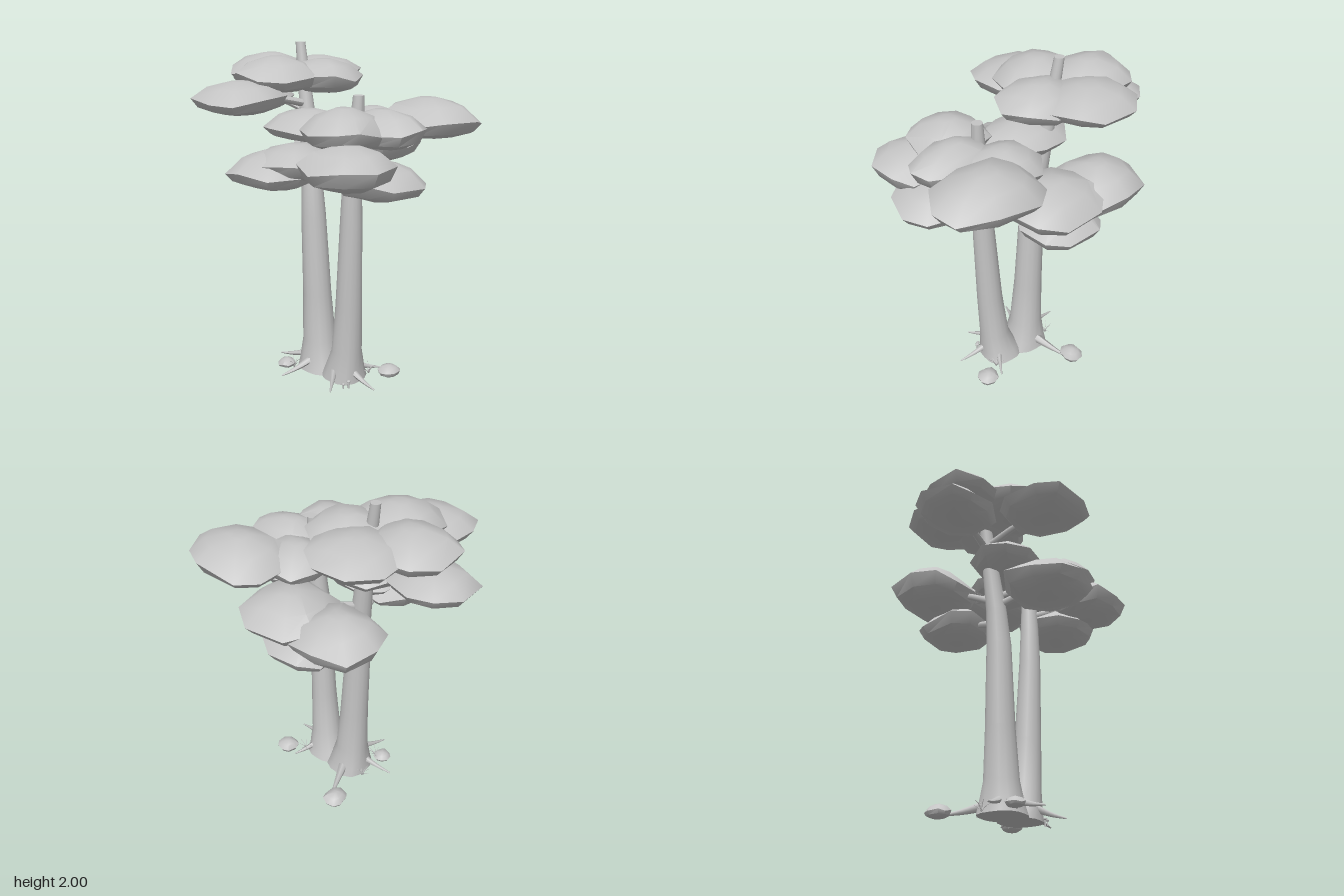
import * as THREE from 'three';
import { toCreasedNormals } from 'three/addons/utils/BufferGeometryUtils.js';

let seed = 11;
const rand = () => (seed = (seed * 16807) % 2147483647) / 2147483647;
const V = (x, y, z) => new THREE.Vector3(x, y, z);

// Closed skin over horizontal rings of points, listed from bottom to top
function loft(rings, crease) {
  const n = rings[0].length, pos = [], index = [];
  const centre = (ring) => ring.reduce((s, p) => s.add(p), V(0, 0, 0)).divideScalar(n);
  rings.forEach((ring) => ring.forEach((p) => pos.push(p.x, p.y, p.z)));
  const bottom = rings.length * n, top = bottom + 1;
  pos.push(...centre(rings[0]).toArray(), ...centre(rings[rings.length - 1]).toArray());
  for (let i = 0; i < n; i++) {
    const j = (i + 1) % n;
    for (let r = 0; r < rings.length - 1; r++) {
      const a = r * n + i, b = r * n + j;
      index.push(a, a + n, b, b, a + n, b + n);
    }
    index.push(bottom, i, j, top, bottom - n + j, bottom - n + i);
  }
  const g = new THREE.BufferGeometry();
  g.setAttribute('position', new THREE.Float32BufferAttribute(pos, 3));
  g.setIndex(index);
  return toCreasedNormals(g, crease);
}

// Leaning, flared trunk; each section is [x, y, z, radius]
function trunkGeometry(sections, sides = 16) {
  return loft(sections.map(([x, y, z, r], k) => Array.from({ length: sides }, (_, i) => {
    const a = (i / sides) * Math.PI * 2;
    const rr = r * (k < 2 ? 1 - 0.05 * Math.cos(a * 4) : 1);
    return V(x + rr * Math.cos(a), y, z + rr * Math.sin(a));
  })), 0.9);
}

// Irregular, slightly squared leaf cushion filling the box x0..x1, y0..y1, z0..z1
function cushionGeometry([x0, x1, y0, y1, z0, z1]) {
  const n = 9, turn = rand() * 6;
  const wobble = Array.from({ length: n }, () => [(rand() - 0.5) * 0.3, 0.95 + rand() * 0.1, (rand() - 0.5) * 0.3]);
  const profile = [[0.5, 0], [0.86, 0.16], [1, 0.44], [0.66, 0.82], [0.2, 1]];
  const square = (v) => Math.sign(v) * Math.abs(v) ** 0.85;
  const rings = profile.map(([r, h], k) => wobble.map(([da, dr, dh], i) => {
    const a = turn + ((i + da) / n) * Math.PI * 2;
    return V(square(Math.cos(a)) * r * dr, h + dh * [0, 0.4, 1, 0.3, 0][k], square(Math.sin(a)) * r * dr);
  }));
  const { min, max } = new THREE.Box3().setFromPoints(rings.flat());
  const fit = (v, a, b, c, d) => c + ((v - a) / (b - a)) * (d - c);
  rings.flat().forEach((p) => p.set(fit(p.x, min.x, max.x, x0, x1),
    fit(p.y, min.y, max.y, y0, y1), fit(p.z, min.z, max.z, z0, z1)));
  return loft(rings, 0.7);
}

// Curved limb narrowing from r0 to r1
function limbGeometry(points, r0, r1, sides = 7) {
  const curve = new THREE.CatmullRomCurve3(points), steps = 8;
  const g = new THREE.TubeGeometry(curve, steps, 1, sides);
  const p = g.attributes.position, v = V(0, 0, 0);
  for (let i = 0; i < p.count; i++) {
    const t = Math.floor(i / (sides + 1)) / steps, c = curve.getPointAt(t);
    v.fromBufferAttribute(p, i).sub(c).multiplyScalar(r0 + (r1 - r0) * t).add(c);
    p.setXYZ(i, v.x, v.y, v.z);
  }
  g.computeVertexNormals();
  return g;
}

export function createModel() {
  const model = new THREE.Group();
  model.name = 'twinTree';
  const grey = new THREE.MeshStandardMaterial({ color: 0xc4c4c4 });
  grey.name = 'plain grey';
  const add = (name, geometry, parent = model) => {
    const m = new THREE.Mesh(geometry, grey);
    m.name = name;
    parent.add(m);
    return m;
  };

  // Trunks, flaring into each other at the foot
  const tall = [[-0.014, 0.012, -0.015, 0.142], [-0.02, 0.07, -0.015, 0.126], [-0.033, 0.2, -0.013, 0.102],
    [-0.05, 0.5, -0.012, 0.087], [-0.075, 1, -0.008, 0.074], [-0.094, 1.22, -0.015, 0.062],
    [-0.15, 1.6, -0.04, 0.045], [-0.215, 2, -0.053, 0.028]];
  const short = [[0.174, 0.012, -0.01, 0.132], [0.182, 0.07, -0.003, 0.117], [0.206, 0.2, 0.006, 0.092],
    [0.226, 0.5, 0.015, 0.079], [0.245, 1, 0.025, 0.065], [0.249, 1.22, 0.025, 0.057],
    [0.265, 1.5, 0.015, 0.045], [0.273, 1.74, 0.007, 0.031]];
  add('tallTrunk', trunkGeometry(tall));
  add('shortTrunk', trunkGeometry(short));

  // Leaf cushions, tier by tier: [x0, x1, y0, y1, z0, z1]
  const tiers = {
    tallTree: [
      [-0.68, -0.18, 1.75, 1.93, -0.26, 0.19], [-0.29, 0.18, 1.73, 1.91, -0.31, 0.13],
      [-0.51, 0.01, 1.75, 1.91, -0.49, -0.01], [-0.45, 0.04, 1.74, 1.93, -0.08, 0.37],
      [-0.79, -0.31, 1.6, 1.76, -0.23, 0.19], [-0.49, 0, 1.64, 1.81, 0.16, 0.64],
      [-0.49, 0, 1.27, 1.5, -0.61, -0.14], [-0.2, 0.35, 1.31, 1.52, -0.645, -0.14],
      [-0.32, 0.2, 1.24, 1.44, 0.08, 0.56], [-0.2, 0.28, 1.3, 1.48, 0.02, 0.49],
      [-0.22, 0.23, 1.13, 1.32, -0.57, -0.13],
    ],
    shortTree: [
      [0.19, 0.69, 1.48, 1.68, -0.17, 0.18], [0.1, 0.55, 1.49, 1.7, -0.01, 0.43],
      [0.18, 0.79, 1.5, 1.71, -0.61, -0.12], [0.03, 0.45, 1.48, 1.66, -0.37, 0.04],
      [-0.32, 0.27, 1.47, 1.64, -0.16, 0.26], [0.23, 0.72, 1.32, 1.54, 0.1, 0.56],
      [0.25, 0.745, 1.23, 1.42, -0.15, 0.32],
    ],
  };
  for (const [name, boxes] of Object.entries(tiers)) {
    const crown = new THREE.Group();
    crown.name = name + 'Crown';
    model.add(crown);
    const trunk = name === 'tallTree' ? tall : short;
    for (const box of boxes) {
      add('leafCushion', cushionGeometry(box), crown);
      // Branch from the trunk into the cushion
      const end = V((box[0] + box[1]) / 2, box[2] + 0.4 * (box[3] - box[2]), (box[4] + box[5]) / 2);
      const y = box[2] + 0.01;
      const k = trunk.findIndex((s) => s[1] > y), a = trunk[k - 1], b = trunk[k];
      const t = (y - a[1]) / (b[1] - a[1]);
      const start = V(a[0] + t * (b[0] - a[0]), y, a[2] + t * (b[2] - a[2]));
      const middle = start.clone().lerp(end, 0.5);
      middle.y += 0.02;
      add('branch', limbGeometry([start, middle, end], 0.024, 0.014), crown);
    }
  }

  // Roots: start x, z, tip x, z and thickness
  const roots = [[-0.1, 0.02, -0.3, 0.06, 0.024], [-0.02, 0.08, -0.08, 0.28, 0.024], [0.17, 0.08, 0.27, 0.23, 0.024],
    [0.25, 0.02, 0.45, 0.04, 0.024], [-0.03, -0.08, -0.13, -0.34, 0.034], [0.22, -0.06, 0.3, -0.21, 0.024]];
  for (const [x0, z0, x1, z1, r] of roots) {
    add('root', limbGeometry([V(x0, 0.085, z0), V((x0 + x1) / 2, 0.05, (z0 + z1) / 2),
      V(x1, 0.028, z1)], r, 0.004, 6));
  }

  // Stones
  for (const box of [[0.32, 0.45, 0.015, 0.085, -0.25, -0.12], [-0.23, -0.1, 0.01, 0.085, -0.41, -0.26],
    [-0.22, -0.11, 0.015, 0.07, 0.09, 0.2]]) add('stone', cushionGeometry(box));

  // Sprigs of thin stems
  for (const [x, z] of [[0.28, -0.12], [-0.16, -0.06], [-0.12, 0.13]]) {
    const sprig = new THREE.Group();
    sprig.name = 'sprig';
    model.add(sprig);
    for (let i = 0; i < 8; i++) {
      const a = (i / 8) * Math.PI * 2, h = 0.045 + rand() * 0.035, d = 0.03 + rand() * 0.03;
      add('stem', limbGeometry([V(x, 0.015, z), V(x + Math.cos(a) * d * 0.4, h * 0.75, z + Math.sin(a) * d * 0.4),
        V(x + Math.cos(a) * d, h, z + Math.sin(a) * d)], 0.003, 0.001, 4), sprig);
    }
  }

  // Mushrooms
  for (const [x, y, z, r] of [[0.29, 0.045, 0.085, 0.014], [0.27, 0.03, 0.11, 0.011]]) {
    add('mushroomStem', new THREE.CylinderGeometry(r * 0.35, r * 0.4, y, 6)).position.set(x, y / 2, z);
    const cap = add('mushroomCap', new THREE.SphereGeometry(r, 8, 5));
    cap.scale.y = 0.6;
    cap.position.set(x, y, z);
  }
  return model;
}
